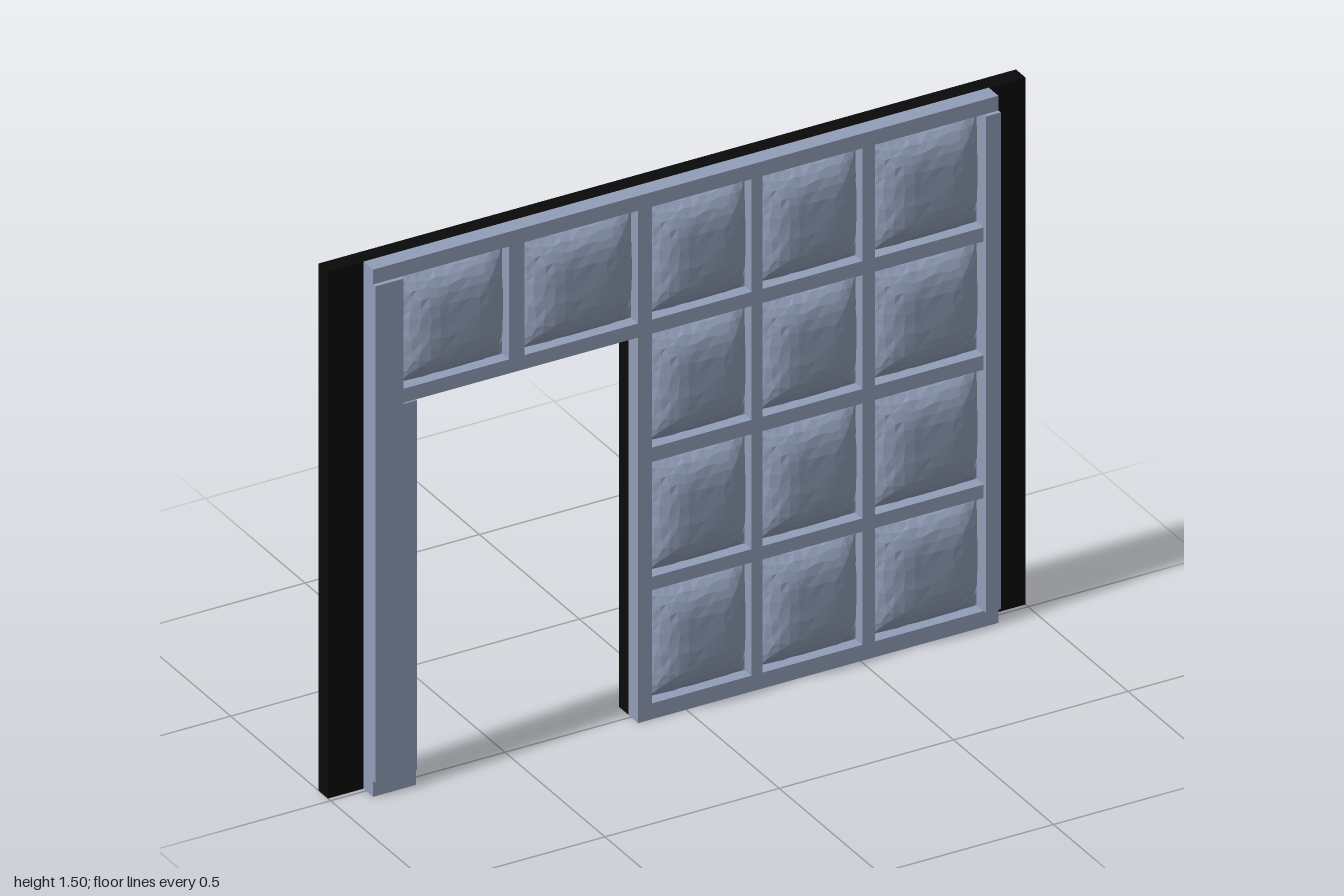
import * as THREE from 'three';

const WALL_FRONT = -0.013;
const RAIL_FRONT = 0.035;
const POST_FRONT = 0.047;

export function createModel() {
  const model = new THREE.Group();
  model.name = 'paddedWallWithDoorway';

  const black = new THREE.MeshStandardMaterial({ color: 0x0a0a0a });
  black.name = 'black backing';
  const greyBlue = new THREE.MeshStandardMaterial({ color: 0x919eb8 });
  greyBlue.name = 'grey blue';
  const padding = new THREE.MeshStandardMaterial({ color: 0x919eb8 });
  padding.name = 'grey blue padding';
  padding.flatShading = true;

  // Box given by its limits, starting at the face of the backing wall
  function bar(name, x0, x1, y0, y1, front = RAIL_FRONT) {
    const depth = front - WALL_FRONT;
    const mesh = new THREE.Mesh(new THREE.BoxGeometry(x1 - x0, y1 - y0, depth), greyBlue);
    mesh.position.set((x0 + x1) / 2, (y0 + y1) / 2, WALL_FRONT + depth / 2);
    mesh.name = name;
    model.add(mesh);
  }

  // Backing wall with the doorway cut from its lower edge
  const outline = [
    [-1, 0], [-0.775, 0], [-0.775, 1.097], [-0.138, 1.097],
    [-0.138, 0], [1, 0], [1, 1.5], [-1, 1.5],
  ].map(([x, y]) => new THREE.Vector2(x, y));
  const wallGeometry = new THREE.ExtrudeGeometry(new THREE.Shape(outline), {
    depth: WALL_FRONT + 0.06, bevelEnabled: false,
  });
  wallGeometry.translate(0, 0, -0.06);
  const wall = new THREE.Mesh(wallGeometry, black);
  wall.name = 'backingWall';
  model.add(wall);

  // Top rail, bottom rails, door lintel and cross rails
  bar('topRail', -0.898, 0.895, 1.458, 1.5);
  bar('leftBottomRail', -0.898, -0.775, 0, 0.045);
  bar('rightBottomRail', -0.138, 0.895, 0, 0.045);
  bar('lintelRail', -0.82, 0.855, 1.097, 1.137);
  bar('lowerCrossRail', -0.1, 0.855, 0.367, 0.405);
  bar('upperCrossRail', -0.1, 0.855, 0.732, 0.773);

  // Outer posts stand slightly proud of the rails
  bar('leftPost', -0.898, -0.818, 0.045, 1.458, POST_FRONT);
  bar('doorJamb', -0.818, -0.775, 0.045, 1.097, 0.04);
  bar('rightPost', 0.853, 0.895, 0.045, 1.458, POST_FRONT);

  // Mullions between the columns of cushions
  bar('doorMullion', -0.138, -0.099, 0.045, 1.458);
  bar('middleMullion', 0.187, 0.218, 0.045, 1.458);
  bar('rightMullion', 0.505, 0.541, 0.045, 1.458);
  bar('lintelMullion', -0.508, -0.464, 1.137, 1.458);

  // Small seeded random numbers for the crumpled fabric
  let seed = 7;
  const random = () => {
    seed = (seed * 16807) % 2147483647;
    return seed / 2147483647 - 0.5;
  };

  // Unit cushion: a plane puffed out in the middle, wrinkled towards its seams
  const cushionGeometry = new THREE.PlaneGeometry(2, 2, 14, 14);
  const p = cushionGeometry.attributes.position;
  for (let i = 0; i < p.count; i++) {
    // Rows and columns are packed closer together near the seams
    const ease = (t) => Math.sin(t * Math.PI / 2) * 0.6 + t * 0.4;
    let u = ease(p.getX(i));
    let v = ease(p.getY(i));
    const edge = Math.max(Math.abs(u), Math.abs(v));
    if (edge < 0.97) {
      u += random() * 0.055;
      v += random() * 0.055;
    }
    const puff = Math.pow(Math.max(0, (1 - u ** 4) * (1 - v ** 4)), 0.75);
    const wrinkle = edge < 0.97 ? random() * (0.0015 + 0.005 * edge ** 4) : 0;
    p.setXYZ(i, u, v, Math.min(0.061, 0.061 * puff + wrinkle));
  }
  cushionGeometry.computeVertexNormals();

  // Cushions fill every bay; the two left columns exist only above the door
  const columns = [
    [-0.818, -0.508], [-0.464, -0.138], [-0.099, 0.187], [0.218, 0.505], [0.541, 0.853],
  ];
  const rows = [[0.045, 0.367], [0.405, 0.732], [0.773, 1.097], [1.137, 1.458]];
  rows.forEach(([y0, y1], r) => {
    columns.forEach(([x0, x1], c) => {
      if (c < 2 && r < 3) return;
      const cushion = new THREE.Mesh(cushionGeometry, padding);
      cushion.scale.set((x1 - x0) / 2, (y1 - y0) / 2, 1);
      cushion.position.set((x0 + x1) / 2, (y0 + y1) / 2, 0);
      cushion.name = `cushionRow${r + 1}Column${c + 1}`;
      model.add(cushion);
    });
  });

  return model;
}
